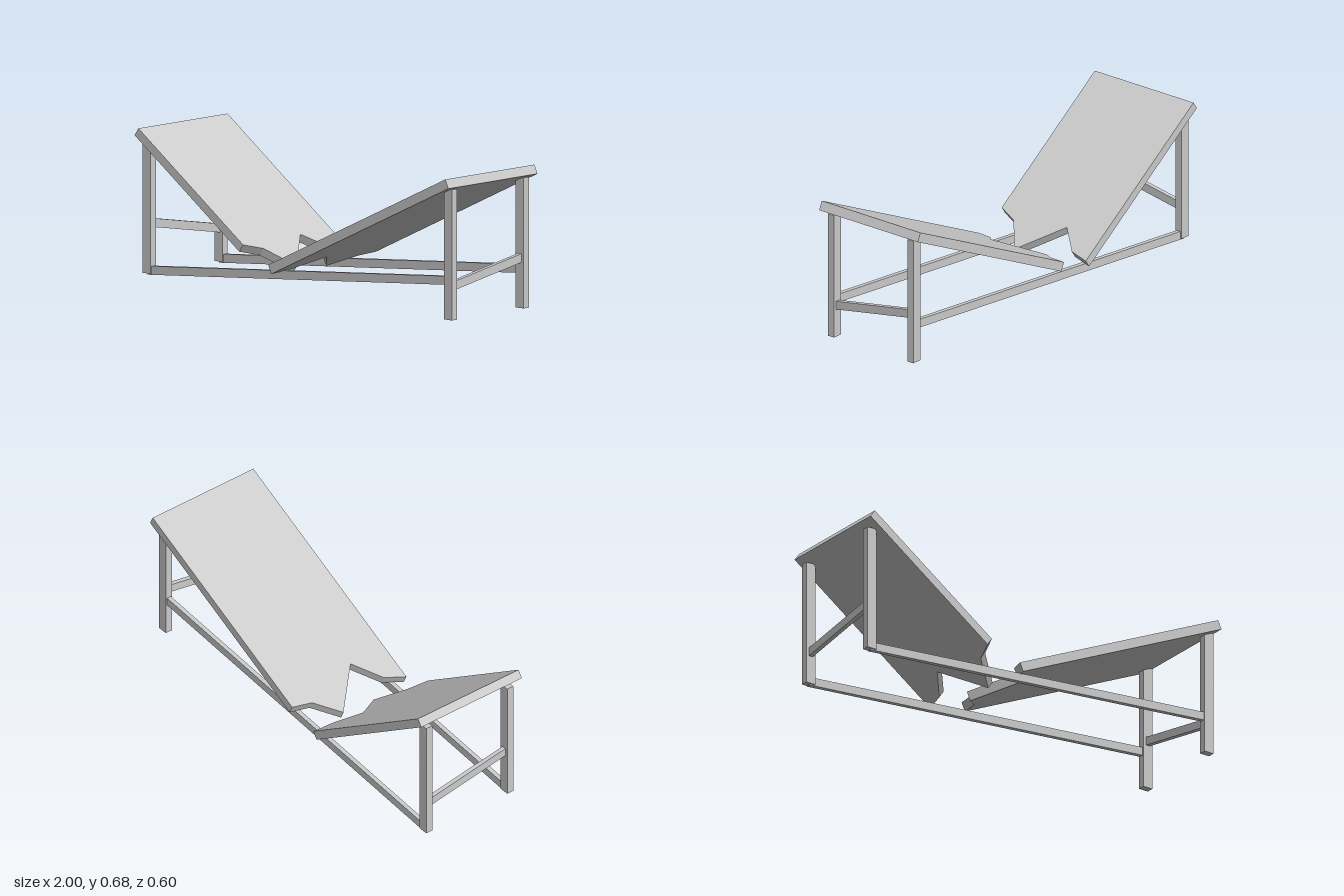
import * as THREE from 'three';

const material = new THREE.MeshStandardMaterial({ color: 0xcccccc, flatShading: true });

// Straight bar of rectangular section between two points in a plane of constant x or z
function bar(name, from, to, height, width) {
  const a = new THREE.Vector3(...from), b = new THREE.Vector3(...to);
  const mesh = new THREE.Mesh(new THREE.BoxGeometry(width, height, a.distanceTo(b)), material);
  mesh.position.copy(a).add(b).multiplyScalar(0.5);
  mesh.lookAt(b);
  mesh.name = name;
  return mesh;
}

// Sloping half of the top: (x0, y0) is the outer upper edge, the break is a list of [x, z]
function brokenBoard(name, x0, y0, angle, thickness, breakLine) {
  const c = Math.cos(angle), half = 0.295;
  const outline = [[x0, -half], ...breakLine, [x0, half]];
  const shape = new THREE.Shape(outline.map(([x, z]) => new THREE.Vector2((x - x0) / c, -z)));
  const geometry = new THREE.ExtrudeGeometry(shape, { depth: thickness, bevelEnabled: false });
  geometry.rotateX(-Math.PI / 2).translate(0, -thickness, 0).rotateZ(angle).translate(x0, y0, 0);
  const mesh = new THREE.Mesh(geometry, material);
  mesh.name = name;
  return mesh;
}

export function createModel() {
  const model = new THREE.Group();
  model.name = 'brokenTable';
  const legZ = 0.2375, legX = { right: -0.962, left: 0.955 };

  // Four upright legs
  for (const side of ['right', 'left']) {
    for (const s of [1, -1]) {
      const leg = new THREE.Mesh(new THREE.BoxGeometry(0.05, 0.607, 0.035), material);
      leg.position.set(legX[side], 0.3115, s * legZ);
      leg.name = side + (s > 0 ? 'FrontLeg' : 'BackLeg');
      model.add(leg);
    }
  }

  // Long tilted rails at front and back
  for (const s of [1, -1]) {
    model.add(bar(s > 0 ? 'frontRail' : 'backRail',
      [-0.965, 0.021, s * legZ], [0.955, 0.19, s * legZ], 0.04, 0.022));
  }

  // End crossbars, tilted in opposite directions
  for (const [side, s] of [['left', 1], ['right', -1]]) {
    model.add(bar(side + 'Crossbar',
      [legX[side], 0.161, s * legZ], [legX[side], 0.244, -s * legZ], 0.04, 0.022));
  }

  // Two halves of the snapped top
  model.add(brokenBoard('rightBoard', -0.976, 0.685, -Math.atan(0.7), 0.042, [
    [-0.205, -0.295], [-0.225, -0.195], [-0.315, -0.09],
    [-0.16, 0.095], [-0.275, 0.195], [-0.31, 0.295]]));
  model.add(brokenBoard('leftBoard', 0.977, 0.668, Math.atan(0.465), 0.045, [
    [-0.05, -0.295], [-0.07, -0.195], [-0.17, -0.09],
    [0.01, 0.095], [-0.11, 0.195], [-0.15, 0.295]]));

  // Slight twist of the whole piece
  model.rotation.y = 0.005;
  return model;
}
